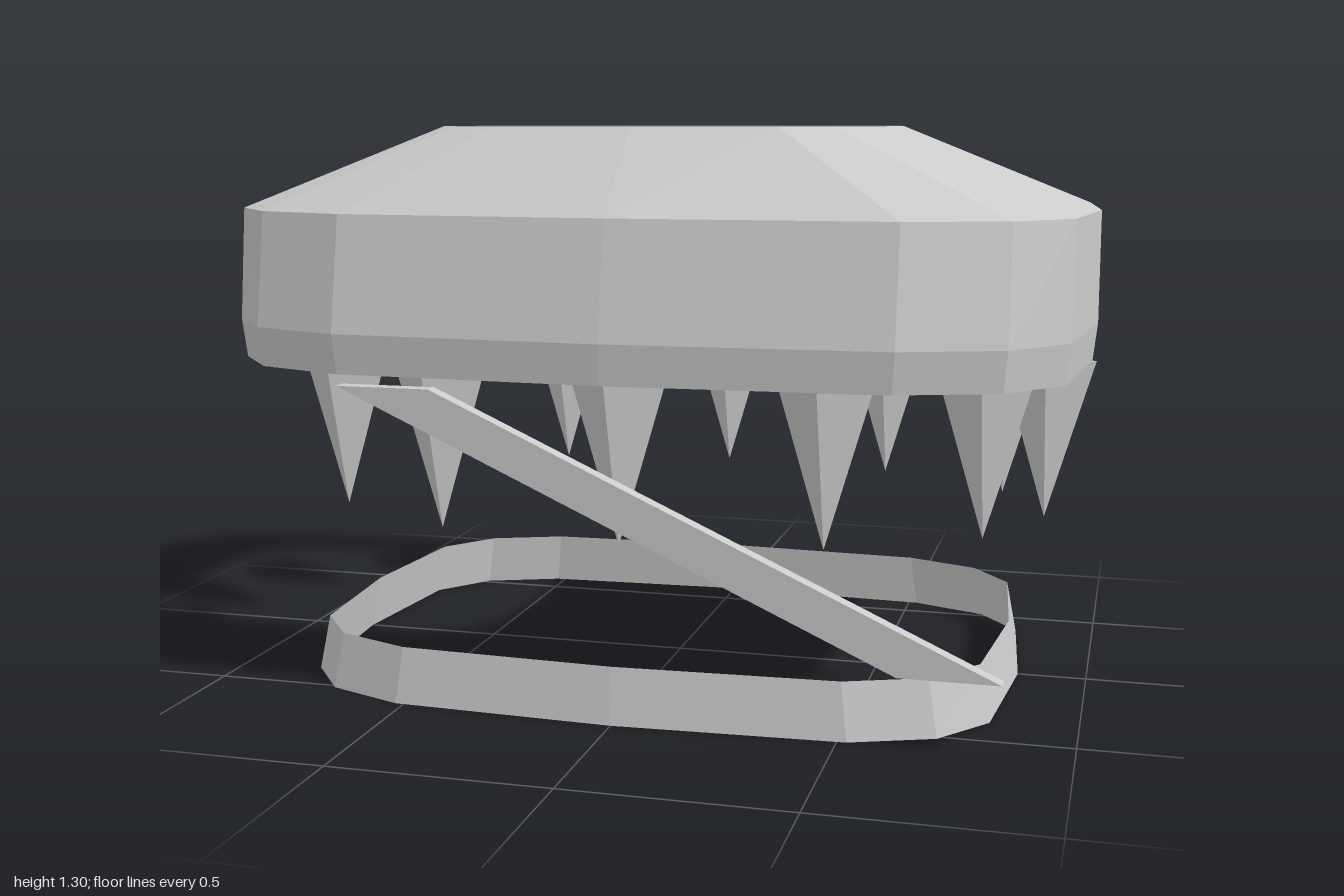
import * as THREE from 'three';

const material = new THREE.MeshStandardMaterial({ color: 0xcccccc, flatShading: true, side: THREE.DoubleSide });

// Quarter of the rounded-rectangle outline, from the front middle to the side middle (x, z)
const quarter = [[0, 1], [0.62, 0.96], [0.84, 0.84], [0.96, 0.62], [1, 0]];

function outline() {
  const there = quarter.slice(0, 4);
  const back = quarter.slice(1).reverse();
  return [
    ...there,
    ...back.map(([x, z]) => [x, -z]),
    ...there.map(([x, z]) => [-x, -z]),
    ...back.map(([x, z]) => [-x, z]),
  ];
}

// Open band through levels of [y, half width, half depth], bottom to top
function band(name, levels) {
  const loop = outline();
  const n = loop.length;
  const positions = levels.flatMap(([y, w, d]) => loop.flatMap(([x, z]) => [x * w, y, z * d]));
  const index = [];
  for (let l = 0; l < levels.length - 1; l++) {
    for (let i = 0; i < n; i++) {
      const a = l * n + i;
      const b = l * n + (i + 1) % n;
      index.push(a, b, b + n, a, b + n, a + n);
    }
  }
  const geometry = new THREE.BufferGeometry();
  geometry.setAttribute('position', new THREE.Float32BufferAttribute(positions, 3));
  geometry.setIndex(index);
  geometry.computeVertexNormals();
  const mesh = new THREE.Mesh(geometry, material);
  mesh.name = name;
  return mesh;
}

export function createModel() {
  const model = new THREE.Group();
  model.name = 'spikedShell';

  // Hollow upper shell with a sloping roof and an open top
  model.add(band('upperShell', [
    [0.765, 0.99, 0.675],
    [0.855, 1, 0.685],
    [1.115, 1, 0.635],
    [1.305, 0.525, 0.427],
  ]));

  // Thin ring on the ground
  model.add(band('baseRing', [[0, 0.84, 0.61], [0.13, 0.815, 0.595]]));

  // Four-sided spikes hanging in an ellipse below the shell
  const spikes = new THREE.Group();
  spikes.name = 'spikes';
  const spikeGeometry = new THREE.ConeGeometry(0.11, 0.375, 4).rotateX(Math.PI);
  for (let i = 0; i < 12; i++) {
    const angle = i * Math.PI / 6;
    const spike = new THREE.Mesh(spikeGeometry, material);
    spike.name = 'spike';
    spike.position.set(0.89 * Math.cos(angle), 0.5775, 0.538 * Math.sin(angle));
    spikes.add(spike);
  }
  model.add(spikes);

  // Slanted flat strip across the front
  const stripShape = new THREE.Shape([
    [-0.63, 0.735], [0.63, 0.163], [0.85, 0.163], [-0.41, 0.735],
  ].map(([x, y]) => new THREE.Vector2(x, y)));
  const strip = new THREE.Mesh(
    new THREE.ExtrudeGeometry(stripShape, { depth: 0.037, bevelEnabled: false }), material);
  strip.name = 'diagonalStrip';
  strip.position.z = 0.585;
  model.add(strip);

  return model;
}
